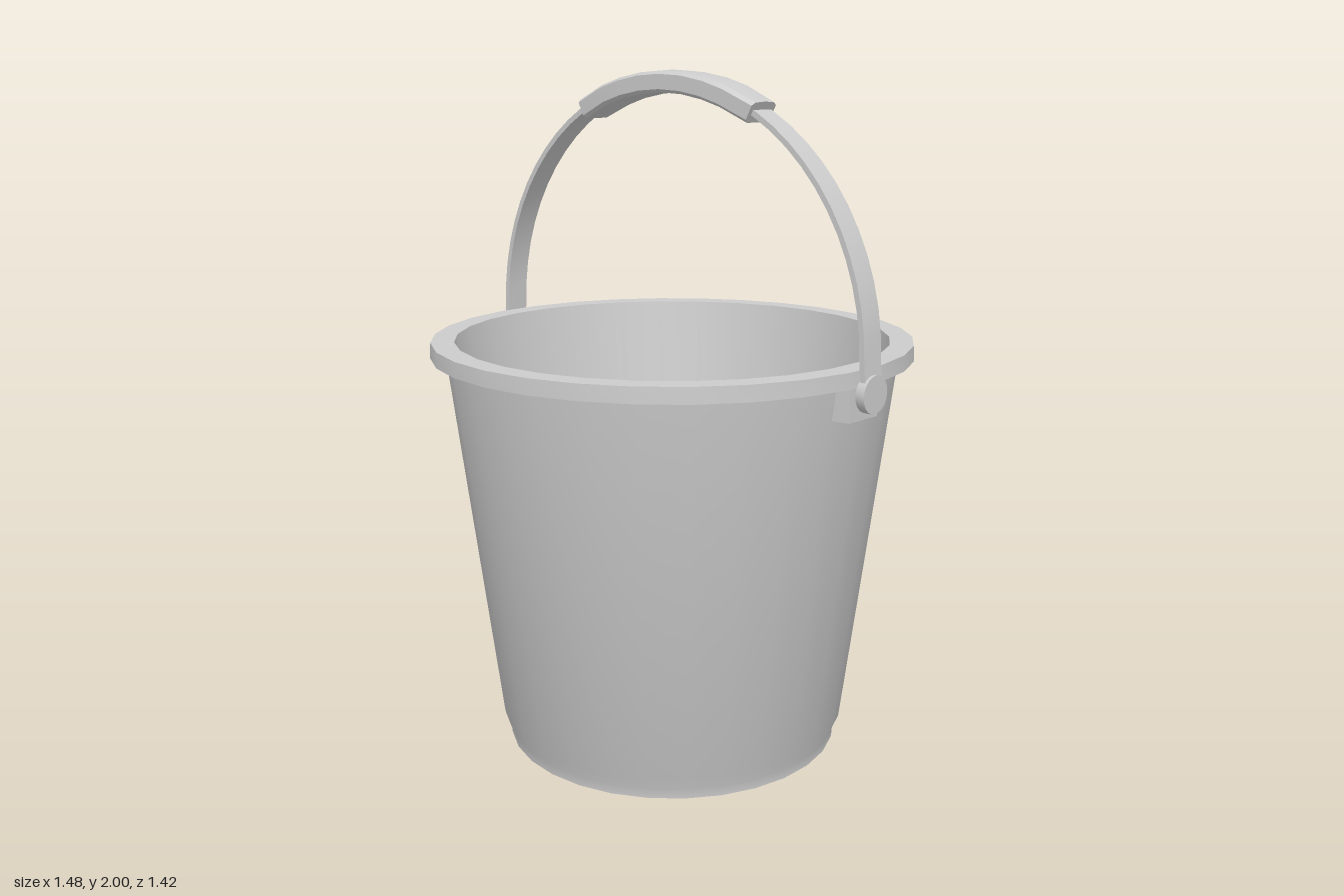
import * as THREE from 'three';
import { toCreasedNormals } from 'three/addons/utils/BufferGeometryUtils.js';

const material = new THREE.MeshStandardMaterial({ color: 0xcccccc });
const ARC_Y = 1.25, ARC_R = 0.718, PIVOT_Y = 1.17;

function part(name, geometry, crease = 0.55) {
  const mesh = new THREE.Mesh(toCreasedNormals(geometry, crease), material);
  mesh.name = name;
  return mesh;
}

// Frame on the handle's arc, at an angle measured from +x
function arcFrame(angle, width = 1) {
  const nx = Math.cos(angle), ny = Math.sin(angle);
  return { x: ARC_R * nx, y: ARC_Y + ARC_R * ny, nx, ny, width };
}

// Sweep a closed (outward, z) section through frames running from -x to +x
function sweep(section, frames) {
  const n = section.length, positions = [], index = [];
  for (const f of frames) {
    for (const [r, z] of section) positions.push(f.x + r * f.nx, f.y + r * f.ny, z * f.width);
  }
  for (let i = 0; i < frames.length - 1; i++) {
    for (let j = 0; j < n; j++) {
      const a = i * n + j, b = i * n + (j + 1) % n;
      index.push(a, b, b + n, a, b + n, a + n);
    }
  }
  const end = (frames.length - 1) * n;
  for (let j = 1; j < n - 1; j++) {
    index.push(0, j + 1, j);
    index.push(end, end + j, end + j + 1);
  }
  const geometry = new THREE.BufferGeometry();
  geometry.setAttribute('position', new THREE.Float32BufferAttribute(positions, 3));
  geometry.setIndex(index);
  return geometry;
}

export function createModel() {
  const bucket = new THREE.Group();
  bucket.name = 'bucket';

  // Tapered shell with foot, overhanging rim, inner wall and floor
  const profile = [
    [0, 0], [0.505, 0], [0.507, 0.03], [0.525, 0.07], [0.665, 1.19], [0.71, 1.19],
    [0.708, 1.235], [0.64, 1.235], [0.477, 0.03], [0, 0.03],
  ].map(([r, y]) => new THREE.Vector2(r, y));
  bucket.add(part('shell', new THREE.LatheGeometry(profile, 30)));

  // Flat handle strap: half circle with short straight ends
  const strap = [[-0.008, -0.037], [0.008, -0.037], [0.008, 0.037], [-0.008, 0.037]];
  const strapFrames = [{ x: -0.726, y: PIVOT_Y, nx: -1, ny: 0, width: 1 }];
  const steps = 32;
  for (let i = 0; i <= steps; i++) strapFrames.push(arcFrame(Math.PI * (1 - i / steps)));
  strapFrames.push({ x: 0.726, y: PIVOT_Y, nx: 1, ny: 0, width: 1 });
  bucket.add(part('handleStrap', sweep(strap, strapFrames)));

  // Thicker grip, narrowing towards its ends
  const grip = [
    [-0.031, -0.047], [-0.022, -0.058], [0.02, -0.058], [0.029, -0.045], [0.032, 0],
    [0.029, 0.045], [0.02, 0.058], [-0.022, 0.058], [-0.031, 0.047],
  ];
  const gripFrames = [-27.5, -19, -13, -6.5, 0, 6.5, 13, 19, 27.5].map((deg) =>
    arcFrame(Math.PI / 2 - THREE.MathUtils.degToRad(deg), Math.abs(deg) > 20 ? 0.87 : 1));
  bucket.add(part('handleGrip', sweep(grip, gripFrames), 0.45));

  // Pivots and lugs on both sides
  for (const side of [-1, 1]) {
    const name = side > 0 ? 'left' : 'right';

    const disc = new THREE.CylinderGeometry(0.052, 0.052, 0.027, 20);
    disc.rotateZ(Math.PI / 2).translate(side * 0.725, PIVOT_Y, 0);
    bucket.add(part(name + 'PivotDisc', disc));

    const pin = new THREE.CylinderGeometry(0.03, 0.03, 0.05, 16);
    pin.rotateZ(Math.PI / 2).translate(side * 0.7, PIVOT_Y, 0);
    bucket.add(part(name + 'PivotPin', pin));

    // Lug under the rim, slightly narrower on its outer face
    const lug = new THREE.BoxGeometry(0.07, 0.1, 0.14);
    const p = lug.attributes.position;
    for (let i = 0; i < p.count; i++) {
      if (p.getX(i) * side > 0) p.setZ(i, p.getZ(i) * 0.87);
    }
    lug.translate(side * 0.667, 1.147, 0);
    bucket.add(part(name + 'Lug', lug, 0.1));
  }
  return bucket;
}
